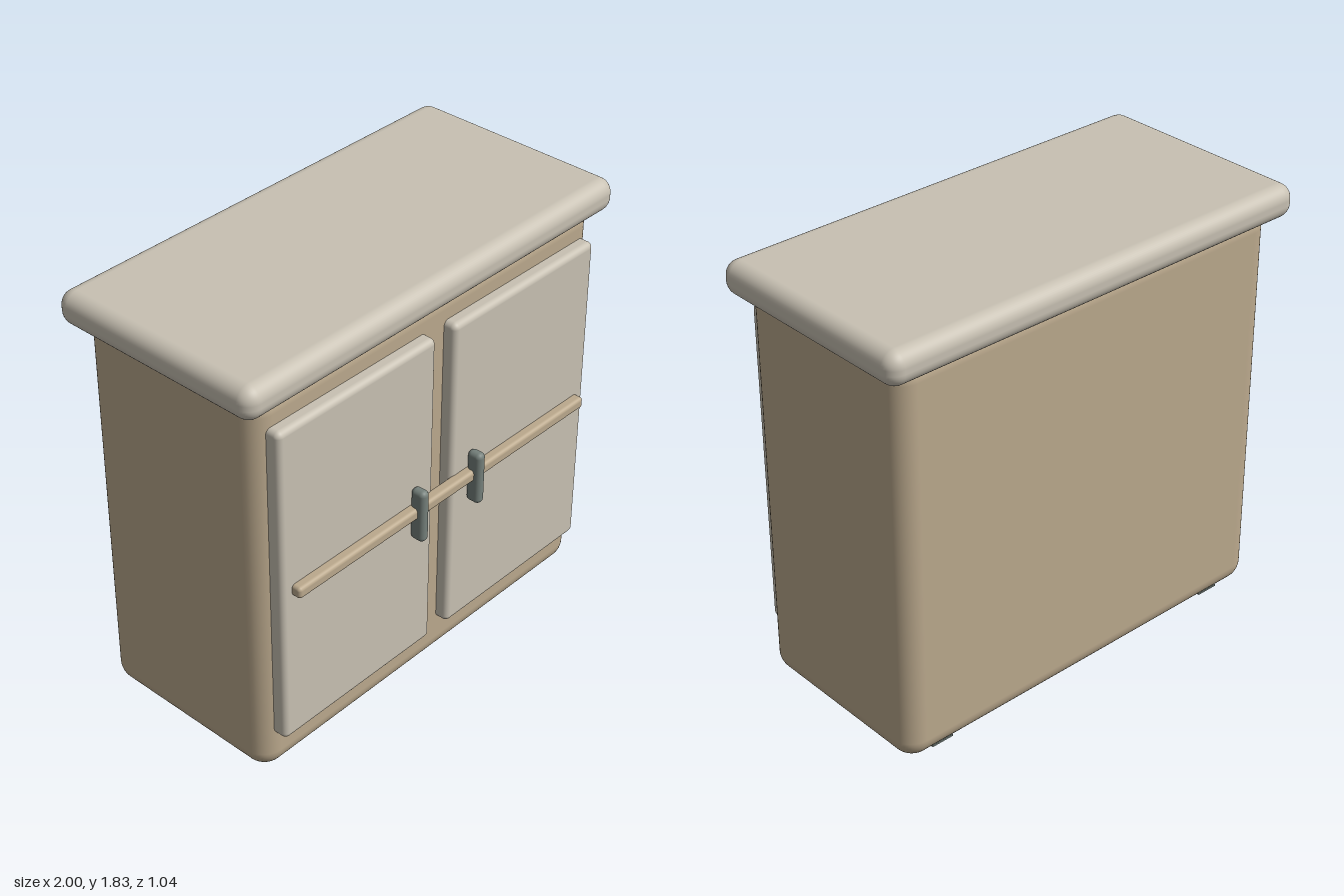
import * as THREE from 'three';
import { RoundedBoxGeometry } from 'three/addons/geometries/RoundedBoxGeometry.js';

const material = (name, color) => {
  const m = new THREE.MeshStandardMaterial({ color });
  m.name = name;
  return m;
};

export function createModel() {
  const group = new THREE.Group();
  const tan = material('tan wood', 0xbba98d);
  const cream = material('cream paint', 0xc8c1b3);
  const metal = material('grey metal', 0x75807b);

  // Rounded box spanning the given [min, max] ranges
  const addBox = (name, mat, [x0, x1], [y0, y1], [z0, z1], radius) => {
    const geometry = new RoundedBoxGeometry(x1 - x0, y1 - y0, z1 - z0, 5, radius);
    const mesh = new THREE.Mesh(geometry, mat);
    mesh.name = name;
    mesh.position.set((x0 + x1) / 2, (y0 + y1) / 2, (z0 + z1) / 2);
    group.add(mesh);
  };

  // Cabinet body and overhanging top
  addBox('body', tan, [-0.93, 0.93], [0, 1.74], [-0.46, 0.4], 0.09);
  addBox('countertop', cream, [-1, 1], [1.69, 1.83], [-0.52, 0.45], 0.06);

  // Rail across both doors
  addBox('rail', tan, [-0.82, 0.82], [0.87, 0.92], [0.445, 0.495], 0.015);

  for (const [side, s] of [['left', 1], ['right', -1]]) {
    const span = (a, b) => (s > 0 ? [a, b] : [-b, -a]);
    addBox(side + 'Door', cream, span(0.05, 0.87), [0.19, 1.605], [0.375, 0.455], 0.025);
    addBox(side + 'Handle', metal, span(0.14, 0.185), [0.765, 1], [0.453, 0.52], 0.021);

    // Thin foot pad almost flush with the underside, near the back
    const foot = new THREE.Mesh(new THREE.BoxGeometry(0.1, 0.008, 0.05), metal);
    foot.name = side + 'FootPad';
    foot.position.set(s * 0.73, 0.004, -0.395);
    group.add(foot);
  }
  return group;
}
